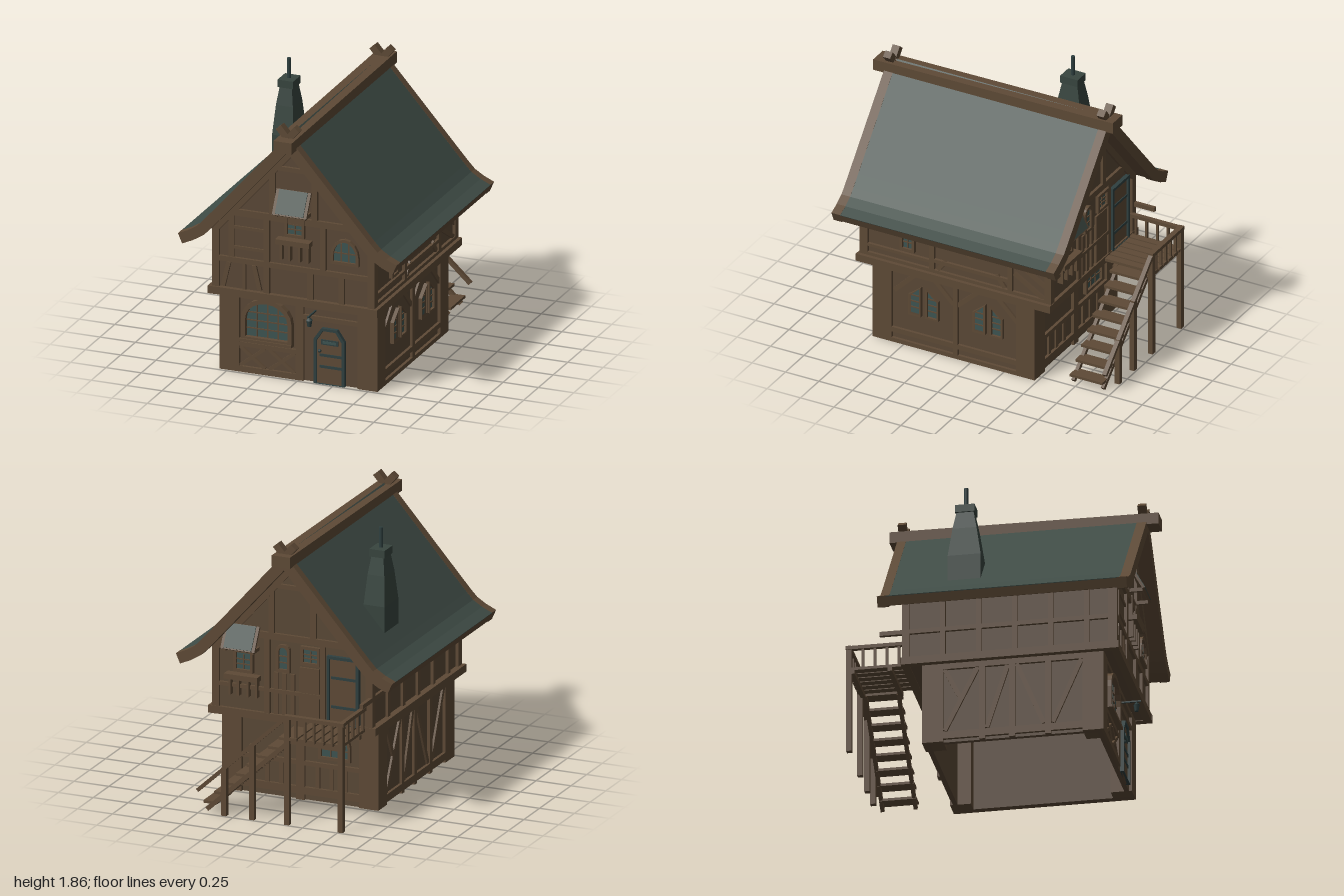
import * as THREE from 'three';

const mat = (name, color) => {
  const m = new THREE.MeshStandardMaterial({ color });
  m.name = name;
  return m;
};
const wall = mat('plank wall', 0x5a4836), timber = mat('timber', 0x5e4a36), slate = mat('slate roof', 0x3f4c46),
  glass = mat('teal glass', 0x3d5451), metal = mat('dark teal metal', 0x2f4040), stone = mat('chimney stone', 0x38453f);

function add(g, name, geo, m, x = 0, y = 0, z = 0) {
  const mesh = new THREE.Mesh(geo, m);
  mesh.name = name;
  mesh.position.set(x, y, z);
  g.add(mesh);
  return mesh;
}
// box from its two limits on every axis
const box = (g, name, x0, x1, y0, y1, z0, z1, m = timber) =>
  add(g, name, new THREE.BoxGeometry(x1 - x0, y1 - y0, z1 - z0), m, (x0 + x1) / 2, (y0 + y1) / 2, (z0 + z1) / 2);
// straight bar between two points in a plane of constant z
function bar(g, name, [x0, y0], [x1, y1], w, z0, z1, m = timber) {
  const b = add(g, name, new THREE.BoxGeometry(Math.hypot(x1 - x0, y1 - y0), w, z1 - z0), m, (x0 + x1) / 2, (y0 + y1) / 2, (z0 + z1) / 2);
  b.rotation.z = Math.atan2(y1 - y0, x1 - x0);
  return b;
}
const vecs = pts => pts.map(p => new THREE.Vector2(p[0], p[1]));
function plate(g, name, pts, z0, z1, m, hole) {
  const s = new THREE.Shape(vecs(pts));
  if (hole) s.holes.push(new THREE.Path(vecs(hole)));
  return add(g, name, new THREE.ExtrudeGeometry(s, { depth: z1 - z0, bevelEnabled: false }), m, 0, 0, z0);
}
const rect = (u0, u1, v0, v1) => [[u0, v0], [u1, v0], [u1, v1], [u0, v1]];
function arch(u0, u1, v0, spring, top, n = 8) {
  const pts = [[u0, v0], [u1, v0]], c = (u0 + u1) / 2, r = (u1 - u0) / 2;
  for (let i = 0; i <= n; i++) {
    const a = Math.PI * i / n;
    pts.push([c + r * Math.cos(a), spring + (top - spring) * Math.sin(a)]);
  }
  return pts;
}
// framed pane with glazing bars; coordinates lie on the wall face
function windowAt(g, name, pts, { t = 0.02, cols = 1, rows = 2, depth = 0.025, frame = timber } = {}) {
  const us = pts.map(p => p[0]), vs = pts.map(p => p[1]);
  const u0 = Math.min(...us), u1 = Math.max(...us), v0 = Math.min(...vs), v1 = Math.max(...vs);
  const cu = (u0 + u1) / 2, cv = (v0 + v1) / 2, su = 1 + 2 * t / (u1 - u0), sv = 1 + 2 * t / (v1 - v0);
  const win = new THREE.Group();
  win.name = name;
  g.add(win);
  plate(win, 'windowFrame', pts.map(p => [cu + (p[0] - cu) * su, cv + (p[1] - cv) * sv]), 0, depth, frame, pts);
  plate(win, 'pane', pts, 0, 0.008, glass);
  for (let i = 1; i <= cols; i++) {
    const u = u0 + (u1 - u0) * i / (cols + 1);
    box(win, 'mullion', u - 0.004, u + 0.004, v0, v1 - 0.012, 0, 0.014);
  }
  for (let i = 1; i <= rows; i++) {
    const v = v0 + (v1 - v0) * i / (rows + 1.4);
    box(win, 'glazingBar', u0, u1, v - 0.004, v + 0.004, 0, 0.014);
  }
}
// small window with a tilted awning and a pegged sill
function awningWindow(g, c, dv) {
  const a = new THREE.Group();
  a.name = 'awningWindow';
  a.position.set(c, dv, 0);
  g.add(a);
  windowAt(a, 'smallWindow', rect(-0.05, 0.05, 1.05, 1.165));
  box(a, 'sill', -0.12, 0.12, 0.985, 1.02, 0, 0.065);
  for (const u of [-0.09, -0.03, 0.04, 0.1]) box(a, 'sillPeg', u - 0.008, u + 0.008, 0.87, 0.985, 0, 0.04);
  const hood = new THREE.Group();
  hood.name = 'awning';
  hood.position.set(0, 1.285, 0.07);
  hood.rotation.x = -0.5;
  a.add(hood);
  box(hood, 'awningBoard', -0.122, 0.122, -0.088, 0.088, -0.012, 0.004);
  box(hood, 'awningCover', -0.1, 0.1, -0.08, 0.086, 0.004, 0.01, slate);
  for (const s of [-1, 1]) box(a, 'awningBracket', s * 0.1 - 0.008, s * 0.1 + 0.008, 1.19, 1.215, 0, 0.1);
}
// rows of [u0, u1, v0, v1] timbers on a wall face
const beams = (g, list, w = 0.02) => list.forEach(b => box(g, 'beam', b[0], b[1], b[2], b[3], -0.005, w));
const braces = (g, list, w = 0.03) => list.forEach(b => bar(g, 'brace', [b[0], b[1]], [b[2], b[3]], w, -0.005, 0.015));

export function createModel() {
  const house = new THREE.Group();
  house.name = 'timberHouse';
  // wall face group: local x runs along the wall, local z points outward
  const face = (name, ry, d) => {
    const g = new THREE.Group();
    g.name = name;
    g.rotation.y = ry;
    g.position.set(Math.sin(ry) * d, 0, Math.cos(ry) * d);
    house.add(g);
    return g;
  };
  const H = Math.PI / 2;

  // lower walls, open underneath
  box(house, 'lowerFrontWall', -0.54, 0.54, 0, 0.57, 0.68, 0.71, wall);
  box(house, 'lowerBackWall', -0.54, 0.54, 0, 0.57, -0.46, -0.43, wall);
  for (const s of [-1, 1]) box(house, 'lowerSideWall', s * 0.525 - 0.015, s * 0.525 + 0.015, 0, 0.57, -0.45, 0.7, wall);
  for (const s of [-1, 1]) {
    box(house, 'cornerPost', s * 0.49 - 0.07, s * 0.49 + 0.07, 0, 0.57, 0.59, 0.73);
    box(house, 'cornerPost', s * 0.49 - 0.07, s * 0.49 + 0.07, 0, 0.57, -0.48, -0.34);
  }
  // overhanging upper storey with gables, and the sill beams around it
  plate(house, 'upperStorey', [[-0.555, 0.565], [0.555, 0.565], [0.555, 1.06], [0, 1.69], [-0.555, 1.06]], -0.59, 0.8, wall);
  for (const s of [-1, 1]) box(house, 'sideSillBeam', s * 0.575 - 0.025, s * 0.575 + 0.025, 0.56, 0.612, -0.615, 0.835);
  box(house, 'frontSillBeam', -0.6, 0.6, 0.56, 0.612, 0.78, 0.833);
  box(house, 'backSillBeam', -0.6, 0.6, 0.56, 0.612, -0.613, -0.56);

  // roof bands follow one eave-to-ridge curve, at two depths below it
  const curve = [[0, 1.765], [0.525, 1.17], [0.59, 1.097], [0.635, 1.05], [0.7, 1.01], [0.772, 0.978]];
  const offset = d => curve.map((p, i) => {
    if (i === 0) return [0, p[1] - d * 1.51];
    const a = curve[i - 1], b = curve[Math.min(i + 1, curve.length - 1)];
    const dx = b[0] - a[0], dy = b[1] - a[1], l = Math.hypot(dx, dy);
    return [p[0] + dy / l * d, p[1] - dx / l * d];
  });
  for (const s of [-1, 1]) {
    const band = (name, a, b, z0, z1, m) =>
      plate(house, name, [...offset(a), ...offset(b).reverse()].map(p => [p[0] * s, p[1]]), z0, z1, m);
    band('roofDeck', 0, 0.06, -0.69, 0.86, timber);
    band('roofSlates', -0.005, 0, -0.68, 0.855, slate);
    band('frontBargeboard', -0.006, 0.068, 0.855, 0.92, timber);
    band('backBargeboard', -0.006, 0.068, -0.74, -0.68, timber);
  }
  const ridge = box(house, 'ridgeBeam', -0.065, 0.065, 1.69, 1.768, -0.79, 1.0);
  ridge.rotation.x = 0.007;
  for (const z of [0.89, -0.705]) for (const s of [-1, 1])
    bar(house, 'crossedFinial', [-s * 0.045, 1.7], [s * 0.065, 1.828], 0.048, z - 0.027 + s * 0.001, z + 0.027 + s * 0.001);

  // tapering chimney
  const levels = [[1.0, 0.075, 0.11], [1.35, 0.075, 0.11], [1.55, 0.06, 0.08], [1.68, 0.042, 0.055]];
  let cg = new THREE.BoxGeometry(2, 3, 2, 1, 3, 1);
  const cp = cg.attributes.position;
  for (let i = 0; i < cp.count; i++) {
    const [y, w, d] = levels[Math.round(cp.getY(i) + 1.5)];
    cp.setXYZ(i, cp.getX(i) * w, y, cp.getZ(i) * d);
  }
  cg = cg.toNonIndexed();
  cg.computeVertexNormals();
  add(house, 'chimney', cg, stone, -0.455, 0, -0.205);
  box(house, 'chimneyCap', -0.51, -0.4, 1.67, 1.722, -0.27, -0.14, stone);
  add(house, 'chimneyPipe', new THREE.CylinderGeometry(0.014, 0.014, 0.15, 8), metal, -0.455, 1.785, -0.205);

  // front, lower: arched window, crossed panel, door, lantern
  const fl = face('lowerFront', 0, 0.71);
  beams(fl, [[-0.02, 0.035, 0, 0.56], [0.035, 0.42, 0.435, 0.465], [-0.43, -0.02, 0.18, 0.21], [-0.43, -0.02, 0, 0.04], [-0.42, 0.42, 0.53, 0.56]]);
  for (const u of [-0.33, -0.12]) braces(fl, [[u - 0.09, 0.04, u + 0.09, 0.18], [u - 0.09, 0.18, u + 0.09, 0.04]], 0.022);
  windowAt(fl, 'archedFrontWindow', arch(-0.37, -0.07, 0.26, 0.38, 0.505, 10), { t: 0.03, cols: 3, rows: 3, depth: 0.04 });
  box(fl, 'windowSill', -0.41, -0.04, 0.225, 0.245, 0, 0.05);
  const door = e => [[0.13 - e, 0], [0.31 + e, 0], [0.31 + e, 0.3 + e * 0.5], [0.265 + e * 0.5, 0.37 + e], [0.175 - e * 0.5, 0.37 + e], [0.13 - e, 0.3 + e * 0.5]];
  plate(fl, 'doorFrame', door(0.02), 0, 0.028, metal, door(0).map(p => [p[0], p[1] + 0.002]));
  plate(fl, 'door', door(0), 0, 0.014, timber);
  box(fl, 'doorGrille', 0.16, 0.28, 0.275, 0.31, 0.01, 0.022, metal);
  box(fl, 'doorSlot', 0.172, 0.268, 0.284, 0.301, 0.02, 0.025, glass);
  for (const v of [0.12, 0.2]) box(fl, 'doorStrap', 0.15, 0.31, v - 0.009, v + 0.009, 0.01, 0.02, metal);
  add(fl, 'doorKnob', new THREE.SphereGeometry(0.012, 8, 6), metal, 0.152, 0.23, 0.024);
  box(fl, 'lanternArm', 0.11, 0.12, 0.492, 0.502, 0, 0.14, metal);
  add(fl, 'lantern', new THREE.CylinderGeometry(0.02, 0.013, 0.045, 6), metal, 0.115, 0.447, 0.11);
  add(fl, 'lanternCap', new THREE.ConeGeometry(0.024, 0.025, 6), metal, 0.115, 0.482, 0.11);

  // gable framing shared by both ends
  const fu = face('upperFront', 0, 0.8), bu = face('upperBack', Math.PI, 0.59);
  for (const g of [fu, bu]) {
    beams(g, [[-0.575, -0.525, 0.6, 1.06], [0.525, 0.575, 0.6, 1.06], [-0.53, 0.53, 1.125, 1.17], [-0.17, -0.13, 1.17, 1.5],
      [0.13, 0.17, 1.17, 1.5], [-0.21, 0.21, 1.485, 1.515]]);
    for (const s of [-1, 1]) bar(g, 'gableRafter', [s * 0.55, 1.02], [0, 1.645], 0.05, -0.005, 0.022);
  }
  beams(fu, [[-0.53, 0.53, 0.795, 0.83], [-0.21, -0.17, 0.61, 1.13], [0.19, 0.23, 0.83, 1.13], [0.1, 0.14, 0.61, 0.8], [0.32, 0.36, 0.61, 0.8]]);
  beams(fu, [[-0.46, -0.42, 0.83, 1.13], [-0.42, -0.21, 0.89, 0.91], [-0.42, -0.21, 1.03, 1.05], [-0.36, -0.34, 0.61, 0.8]], 0.012);
  braces(fu, [[-0.5, 0.62, -0.46, 0.79], [-0.24, 0.62, -0.28, 0.79]]);
  awningWindow(fu, 0.01, 0);
  windowAt(fu, 'archedUpperWindow', arch(0.285, 0.445, 0.91, 0.95, 1.05), { cols: 2, rows: 1 });

  // back, upper: balcony door and windows
  beams(bu, [[-0.53, 0.2, 0.76, 0.785], [-0.2, -0.16, 0.61, 1.13], [0.2, 0.235, 0.61, 1.13]]);
  for (const u of [-0.12, -0.06, 0, 0.06]) box(bu, 'backBoard', u - 0.015, u + 0.015, 0.61, 0.9, 0, 0.012);
  awningWindow(bu, -0.35, -0.16);
  windowAt(bu, 'narrowBackWindow', arch(-0.095, -0.035, 0.93, 1.05, 1.08), { cols: 0 });
  windowAt(bu, 'squareBackWindow', rect(0.08, 0.18, 1.0, 1.09));
  box(bu, 'backInnerDoor', 0.05, 0.19, 0.61, 0.96, 0, 0.014);
  plate(bu, 'balconyDoorFrame', rect(0.25, 0.48, 0.6, 1.07), 0, 0.028, metal, rect(0.27, 0.46, 0.605, 1.05));
  box(bu, 'balconyDoor', 0.27, 0.46, 0.605, 1.05, 0, 0.012);
  for (const v of [0.72, 0.92]) box(bu, 'doorStrap', 0.28, 0.46, v - 0.009, v + 0.009, 0.01, 0.018, metal);

  // back, lower
  const bl = face('lowerBack', Math.PI, 0.46);
  beams(bl, [[-0.42, 0.42, 0.04, 0.09], [-0.42, 0.42, 0.52, 0.56], [-0.03, 0.03, 0, 0.56], [-0.42, 0.42, 0.24, 0.27]]);
  for (const u of [-0.34, -0.24, -0.14, 0.12, 0.22, 0.32]) box(bl, 'backBoard', u - 0.015, u + 0.015, 0.09, 0.24, 0, 0.012);
  windowAt(bl, 'lowerBackWindow', arch(0.15, 0.34, 0.32, 0.4, 0.49), { cols: 2 });

  // +x side, lower: two pairs of slanted windows between braces
  const ll = face('lowerLeftSide', H, 0.54);
  beams(ll, [[-0.6, 0.36, 0.075, 0.11], [-0.6, 0.36, 0, 0.03], [-0.6, 0.36, 0.53, 0.56], [-0.13, -0.095, 0, 0.56]]);
  braces(ll, [[-0.57, 0.39, -0.42, 0.54], [-0.27, 0.54, -0.13, 0.4], [-0.1, 0.4, 0.05, 0.54], [0.2, 0.54, 0.35, 0.39]]);
  for (const c of [-0.352, 0.128]) for (const s of [-1, 1]) {
    const pts = [[0.03, 0.255], [0.1, 0.255], [0.1, 0.385], [0.03, 0.45]].map(p => [c + s * p[0], p[1]]);
    windowAt(ll, 'slantedWindow', pts, { t: 0.013, cols: 0, rows: 3 });
  }

  // +x side, upper
  const lu = face('upperLeftSide', H, 0.555);
  beams(lu, [[-0.8, -0.76, 0.6, 1.05], [-0.3, -0.265, 0.6, 1.05], [0.285, 0.32, 0.6, 1.05], [0.56, 0.595, 0.6, 1.05],
    [-0.76, 0.56, 0.61, 0.635], [-0.265, 0.285, 0.69, 0.715], [-0.76, -0.3, 0.68, 0.7], [-0.76, 0.56, 1.0, 1.04]]);
  braces(lu, [[0.33, 0.96, 0.56, 0.84], [0.33, 0.87, 0.56, 0.73], [0.33, 0.77, 0.56, 0.63], [-0.24, 0.64, -0.18, 0.72], [0.26, 0.64, 0.2, 0.72]]);
  windowAt(lu, 'narrowSideWindow', arch(-0.5, -0.43, 0.74, 0.94, 0.975), { cols: 1, rows: 4 });
  const hex = [[-0.06, 0.85], [0.01, 0.81], [0.08, 0.85], [0.08, 0.94], [0.01, 0.98], [-0.06, 0.94]];
  plate(lu, 'hexagonFrame', hex.map(p => [0.01 + (p[0] - 0.01) * 1.3, 0.895 + (p[1] - 0.895) * 1.25]), 0, 0.025, timber, hex);

  // -x side: plain panels with posts and braces
  const rl = face('lowerRightSide', -H, 0.54), ru = face('upperRightSide', -H, 0.555);
  beams(rl, [[-0.36, 0.6, 0.02, 0.07], [-0.36, 0.6, 0.52, 0.56], [-0.1, -0.06, 0, 0.56], [0.1, 0.14, 0, 0.56], [0.34, 0.38, 0, 0.56]]);
  braces(rl, [[-0.33, 0.08, -0.11, 0.52], [-0.33, 0.52, -0.22, 0.3], [0.15, 0.52, 0.33, 0.08], [0.39, 0.08, 0.58, 0.52], [-0.05, 0.08, 0.09, 0.52]]);
  beams(ru, [[-0.76, 0.76, 0.79, 0.82], [-0.6, -0.56, 0.6, 1.05], [0.76, 0.8, 0.6, 1.05]]);
  for (let u = -0.34; u < 0.7; u += 0.24) box(ru, 'sidePost', u - 0.018, u + 0.018, 0.6, 1.05, -0.005, 0.02);

  // balcony and stairs behind the house
  const st = new THREE.Group();
  st.name = 'balconyAndStairs';
  house.add(st);
  for (let i = 0; i < 6; i++) box(st, 'balconyBoard', -0.525 + i * 0.065, -0.472 + i * 0.065, 0.583, 0.603, -0.985, -0.6);
  for (const z of [-0.7, -0.95]) box(st, 'balconyJoist', -0.53, -0.12, 0.555, 0.585, z - 0.015, z + 0.015);
  [[-0.515, 0.75], [-0.13, 0.75], [0.12, 0.52], [0.32, 0.33]].forEach(([x, h]) => box(st, 'railPost', x - 0.018, x + 0.018, 0, h, -0.99, -0.954));
  box(st, 'backHandrail', -0.54, -0.11, 0.73, 0.755, -0.992, -0.955);
  box(st, 'sideHandrail', -0.535, -0.505, 0.73, 0.755, -0.985, -0.6);
  for (const z of [-0.64, -0.72, -0.8, -0.88]) box(st, 'sideBaluster', -0.528, -0.512, 0.6, 0.735, z - 0.008, z + 0.008);
  for (let i = 1; i < 6; i++) box(st, 'backBaluster', -0.523 + i * 0.065, -0.507 + i * 0.065, 0.6, 0.735, -0.98, -0.964);
  bar(st, 'stairHandrail', [-0.13, 0.745], [0.51, 0.15], 0.025, -0.99, -0.96);
  for (const z of [-0.715, -0.935]) bar(st, 'stairStringer', [-0.14, 0.57], [0.46, 0.015], 0.03, z - 0.012, z + 0.012);
  for (let i = 0; i < 8; i++) box(st, 'stairTread', 0.39 - i * 0.077, 0.485 - i * 0.077, 0.055 + i * 0.073, 0.073 + i * 0.073, -0.945, -0.7);
  return house;
}
